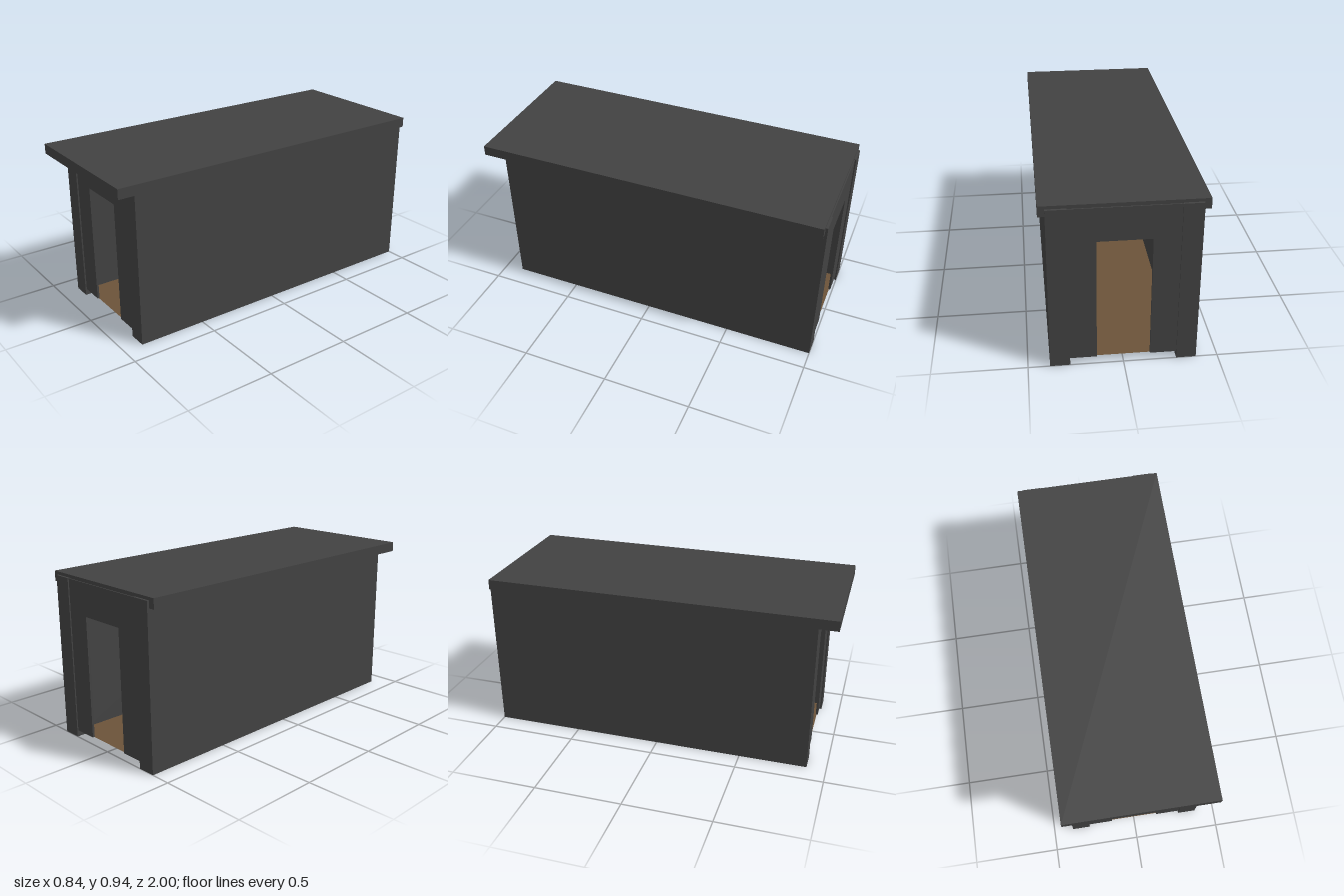
import * as THREE from 'three';

export function createModel() {
  const model = new THREE.Group();
  model.name = 'longHut';
  const darkGrey = new THREE.MeshStandardMaterial({ color: 0x424242 });
  darkGrey.name = 'darkGrey';
  const woodBrown = new THREE.MeshStandardMaterial({ color: 0x6b5339, side: THREE.DoubleSide });
  woodBrown.name = 'woodBrown';

  const add = (name, geometry, material, x, y, z) => {
    const mesh = new THREE.Mesh(geometry, material);
    mesh.name = name;
    mesh.position.set(x, y, z);
    model.add(mesh);
    return mesh;
  };

  // Overhanging slab roof, longer at the front
  add('roof', new THREE.BoxGeometry(0.84, 0.057, 1.987), darkGrey, 0, 0.9065, 0.0065);

  // Thick side walls, their tops set into the roof
  for (const side of [-1, 1]) {
    add(side > 0 ? 'leftWall' : 'rightWall',
      new THREE.BoxGeometry(0.105, 0.918, 1.89), darkGrey, side * 0.3325, 0.459, -0.055);
  }

  // Thin end walls with an open doorway down to the floor
  const outline = new THREE.Shape([
    [-0.28, 0.037], [-0.14, 0.037], [-0.14, 0.73], [0.14, 0.73],
    [0.14, 0.037], [0.28, 0.037], [0.28, 0.915], [-0.28, 0.915],
  ].map(([x, y]) => new THREE.Vector2(x, y)));
  const endWall = new THREE.ExtrudeGeometry(outline, { depth: 0.012, bevelEnabled: false });
  add('frontWall', endWall, darkGrey, 0, 0, 0.87);
  add('backWall', endWall, darkGrey, 0, 0, -0.993);

  // Thin wooden floor between the walls
  const floor = add('floor', new THREE.PlaneGeometry(0.56, 1.86), woodBrown, 0, 0.038, -0.055);
  floor.rotation.x = -Math.PI / 2;

  return model;
}
